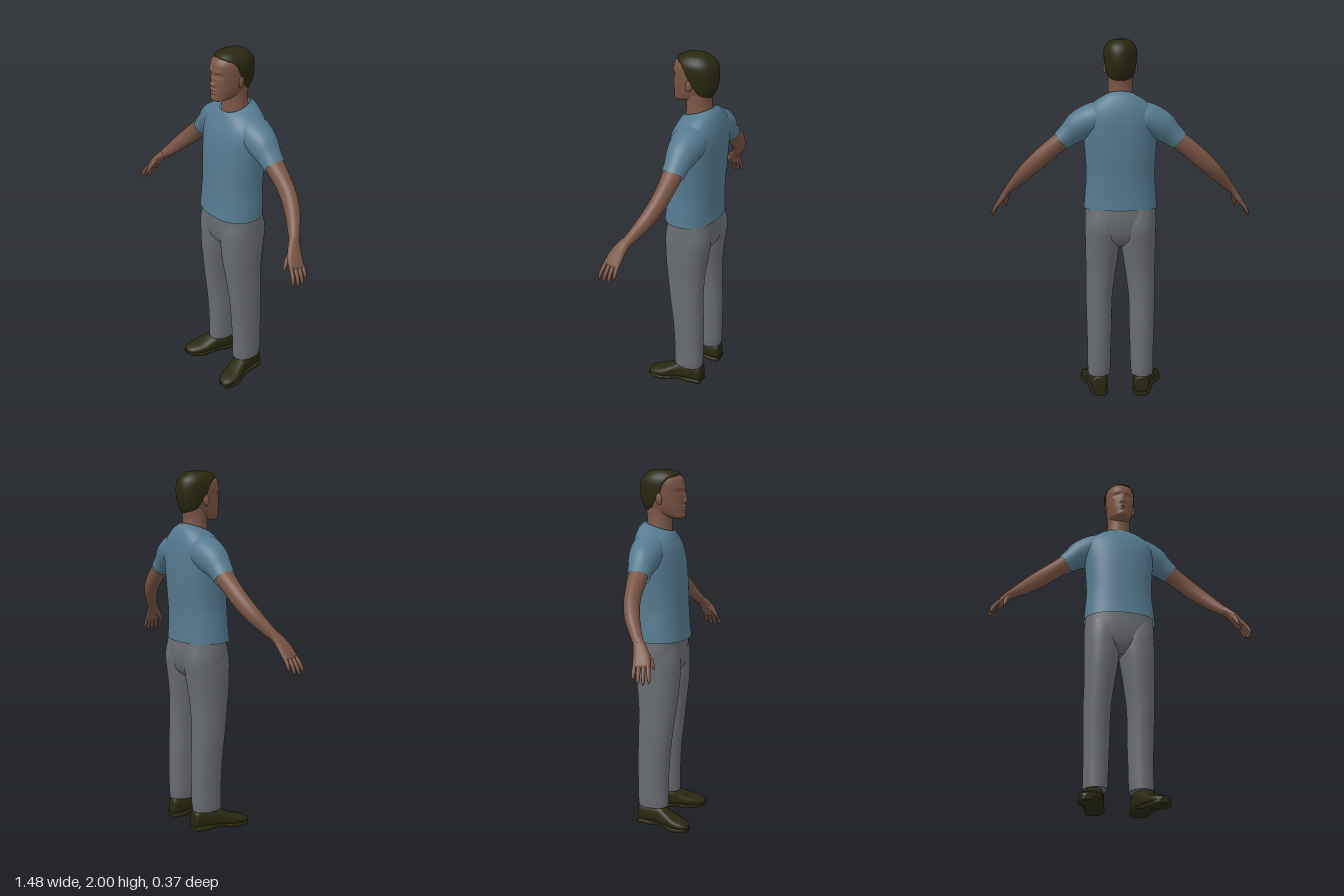
import * as THREE from 'three';

const V = (x, y, z) => new THREE.Vector3(x, y, z);
const mat = (name, color, side = THREE.FrontSide) => {
  const m = new THREE.MeshStandardMaterial({ color, side });
  m.name = name;
  return m;
};

// Horizontal ring: height, centre x, half width, front z, back z, slope along z
const ring = (y, x, hw, zf, zb, tilt = 0) => {
  const d = (zf - zb) / 2;
  return { c: V(x, y, (zf + zb) / 2), u: V(hw, 0, 0), v: V(0, tilt * d, d) };
};

// Rings square to a path of points [x, y, z, thickness, width]
const limb = (pts) => {
  const p = pts.map((q) => V(q[0], q[1], q[2]));
  return pts.map((q, i) => {
    const d = p[Math.min(i + 1, p.length - 1)].clone().sub(p[Math.max(i - 1, 0)]).normalize();
    const u = d.clone().cross(V(0, 0, 1)).normalize();
    const v = u.clone().cross(d);
    return { c: p[i], u: u.multiplyScalar(q[3]), v: v.multiplyScalar(q[4]) };
  });
};

// Smooth surface through the rings; n is the squareness of the section
function surface(rings, n = 2) {
  const [c, u, v] = ['c', 'u', 'v'].map((k) =>
    new THREE.CatmullRomCurve3(rings.map((r) => r[k]), false, 'catmullrom', 0.5));
  const round = (s) => Math.sign(s) * Math.abs(s) ** (2 / n);
  return (t, a) => c.getPoint(t)
    .addScaledVector(u.getPoint(t), round(Math.cos(a)))
    .addScaledVector(v.getPoint(t), round(Math.sin(a)));
}

// Closed-section mesh from a surface function, with optional end caps
function skinOver(fn, steps, segs, caps = true) {
  const pos = [], idx = [];
  for (let i = 0; i <= steps; i++) {
    for (let j = 0; j < segs; j++) pos.push(...fn(i / steps, (j / segs) * Math.PI * 2).toArray());
  }
  for (let i = 0; i < steps; i++) {
    for (let j = 0; j < segs; j++) {
      const k = (j + 1) % segs;
      const a = i * segs + j, b = i * segs + k;
      idx.push(a, a + segs, b, b, a + segs, b + segs);
    }
  }
  if (caps) {
    for (const row of [0, steps]) {
      const mid = V(0, 0, 0), start = pos.length / 3;
      for (let j = 0; j < segs; j++) {
        const p = V(0, 0, 0).fromArray(pos, (row * segs + j) * 3);
        mid.addScaledVector(p, 1 / segs);
        pos.push(p.x, p.y, p.z);
      }
      pos.push(mid.x, mid.y, mid.z);
      for (let j = 0; j < segs; j++) {
        const a = start + j, b = start + ((j + 1) % segs), m = start + segs;
        idx.push(...(row ? [a, m, b] : [a, b, m]));
      }
    }
  }
  const g = new THREE.BufferGeometry();
  g.setAttribute('position', new THREE.Float32BufferAttribute(pos, 3));
  g.setIndex(idx);
  g.computeVertexNormals();
  return g;
}

const loft = (rings, { n = 2, steps = 40, segs = 40, caps = true } = {}) =>
  skinOver(surface(rings, n), steps, segs, caps);

function mirrored(geo) {
  const g = geo.clone().scale(-1, 1, 1);
  const a = g.index.array;
  for (let i = 0; i < a.length; i += 3) [a[i], a[i + 1]] = [a[i + 1], a[i]];
  g.computeVertexNormals();
  return g;
}

// Raised and sunken face features: [x, y, spread x, spread y, depth], mirrored in x
const features = [
  [0, 1.858, 0.011, 0.022, 0.012], [0, 1.835, 0.014, 0.01, 0.012], [0.014, 1.83, 0.008, 0.008, 0.007],
  [0.035, 1.88, 0.018, 0.011, -0.011], [0.034, 1.878, 0.011, 0.006, 0.006], [0.03, 1.902, 0.03, 0.009, 0.004],
  [0, 1.803, 0.022, 0.006, 0.008], [0, 1.786, 0.019, 0.006, 0.008], [0, 1.756, 0.022, 0.012, 0.004],
];
function sculpt(p) {
  if (p.z < 0.02) return p;
  let dz = 0;
  for (const [x, y, sx, sy, d] of features) {
    dz += d * Math.exp(-(((Math.abs(p.x) - x) / sx) ** 2) - ((p.y - y) / sy) ** 2);
  }
  p.z += dz * Math.min(1, (p.z - 0.02) / 0.03);
  return p;
}

// Hairline position on the head surface by angle away from the face
const hairline = [[0, 0.77], [0.7, 0.74], [1.2, 0.69], [1.42, 0.6], [1.6, 0.43], [1.9, 0.33], [2.3, 0.21], [3.2, 0.17]];
function hairStart(a) {
  const f = Math.abs(Math.atan2(Math.sin(a - Math.PI / 2), Math.cos(a - Math.PI / 2)));
  const i = hairline.findIndex((h) => h[0] > f);
  const [f0, t0] = hairline[i - 1], [f1, t1] = hairline[i];
  return THREE.MathUtils.lerp(t0, t1, (f - f0) / (f1 - f0));
}

export function createModel() {
  const model = new THREE.Group();
  model.name = 'standingMan';
  const skin = mat('brown skin', 0x7a5645);
  const cloth = mat('blue cloth', 0x557a8f, THREE.DoubleSide);
  const trouser = mat('grey cloth', 0x696c71);
  const dark = mat('dark brown', 0x29280f, THREE.DoubleSide);

  const add = (name, geo, material) => {
    const m = new THREE.Mesh(geo, material);
    m.name = name;
    model.add(m);
  };
  const pair = (name, geo, material) => {
    add(name + 'Left', geo, material);
    add(name + 'Right', mirrored(geo), material);
  };

  // Head, hair, ears and neck
  const head = surface([
    ring(1.737, 0, 0.022, 0.083, 0.035), ring(1.747, 0, 0.042, 0.097, 0), ring(1.77, 0, 0.06, 0.098, -0.095),
    ring(1.80, 0, 0.071, 0.098, -0.125), ring(1.84, 0, 0.079, 0.097, -0.14), ring(1.88, 0, 0.084, 0.097, -0.145),
    ring(1.92, 0, 0.087, 0.096, -0.143), ring(1.95, 0, 0.081, 0.085, -0.132), ring(1.975, 0, 0.062, 0.058, -0.107),
    ring(1.988, 0, 0.04, 0.025, -0.08), ring(1.993, 0, 0.001, -0.024, -0.026),
  ], 2.15);
  add('head', skinOver((t, a) => sculpt(head(t, a)), 100, 128), skin);
  const crown = V(0, 1.87, -0.03);
  add('hair', skinOver((s, a) => {
    const grow = 0.995 + 0.055 * Math.min(1, s * 12);
    return head(THREE.MathUtils.lerp(hairStart(a), 1, s), a).sub(crown).multiplyScalar(grow).add(crown);
  }, 40, 96, false), dark);
  const ear = new THREE.SphereGeometry(1, 20, 14).scale(0.009, 0.032, 0.019).rotateX(-0.2).rotateY(0.3);
  pair('ear', ear.translate(0.083, 1.845, -0.025), skin);
  add('neck', loft([
    ring(1.6, 0, 0.085, 0.03, -0.12), ring(1.68, 0, 0.071, 0.026, -0.118),
    ring(1.74, 0, 0.066, 0.024, -0.112), ring(1.8, 0, 0.066, 0.03, -0.12), ring(1.84, 0, 0.06, 0.03, -0.12),
  ]), skin);

  // Shirt body and sleeves
  add('shirt', loft([
    ring(1.08, 0, 0.204, 0.125, -0.168), ring(1.16, 0, 0.198, 0.117, -0.166), ring(1.26, 0, 0.19, 0.112, -0.17),
    ring(1.38, 0, 0.195, 0.107, -0.178), ring(1.49, 0, 0.204, 0.097, -0.182), ring(1.57, 0, 0.207, 0.08, -0.181),
    ring(1.625, 0, 0.185, 0.062, -0.172, -0.08), ring(1.672, 0, 0.13, 0.044, -0.152, -0.2),
    ring(1.697, 0, 0.078, 0.032, -0.124, -0.33),
  ], { n: 2.25, steps: 64, segs: 64, caps: false }), cloth);
  pair('sleeve', loft(limb([
    [0.05, 1.59, -0.065, 0.08, 0.08], [0.14, 1.572, -0.065, 0.09, 0.095], [0.225, 1.532, -0.065, 0.083, 0.082],
    [0.28, 1.488, -0.064, 0.064, 0.066], [0.323, 1.452, -0.064, 0.055, 0.06],
  ]), { steps: 32, caps: false }), cloth);

  // Arms and hands
  pair('arm', loft(limb([
    [0.25, 1.52, -0.065, 0.05, 0.052], [0.325, 1.452, -0.064, 0.05, 0.052], [0.395, 1.395, -0.061, 0.049, 0.045],
    [0.455, 1.343, -0.052, 0.048, 0.042], [0.52, 1.283, -0.028, 0.042, 0.039], [0.58, 1.22, 0.01, 0.033, 0.031],
    [0.625, 1.175, 0.042, 0.022, 0.026],
  ])), skin);
  pair('palm', loft(limb([
    [0.61, 1.192, 0.032, 0.024, 0.027], [0.637, 1.16, 0.052, 0.02, 0.034], [0.665, 1.12, 0.068, 0.018, 0.043],
    [0.69, 1.085, 0.076, 0.014, 0.044], [0.698, 1.074, 0.078, 0.007, 0.038],
  ]), { n: 2.3, steps: 24, segs: 28 }), skin);
  [0.78, 0.97, 1, 0.9].forEach((len, i) => {
    const s = (i - 1.5) * 0.022;
    pair('finger' + (i + 1), loft(limb([
      [0.682, 1.098, 0.075 + s, 0.01, 0.01],
      [0.682 + 0.036 * len, 1.098 - 0.048 * len, 0.081 + s * 1.15, 0.01, 0.01],
      [0.682 + 0.051 * len, 1.098 - 0.08 * len, 0.085 + s * 1.25, 0.008, 0.008],
      [0.682 + 0.056 * len, 1.098 - 0.096 * len, 0.086 + s * 1.25, 0.003, 0.003],
    ]), { steps: 14, segs: 14 }), skin);
  });
  pair('thumb', loft(limb([
    [0.64, 1.15, 0.07, 0.014, 0.016], [0.65, 1.115, 0.103, 0.013, 0.014],
    [0.656, 1.085, 0.122, 0.01, 0.01], [0.66, 1.06, 0.132, 0.004, 0.004],
  ]), { steps: 14, segs: 14 }), skin);

  // Trousers: hips and legs
  add('trouserHips', loft([
    ring(0.865, 0, 0.12, 0.04, -0.09), ring(0.9, 0, 0.165, 0.08, -0.135), ring(0.95, 0, 0.195, 0.098, -0.155),
    ring(1.02, 0, 0.199, 0.106, -0.163), ring(1.1, 0, 0.193, 0.105, -0.158),
  ], { n: 2.3, segs: 56 }), trouser);
  pair('trouserLeg', loft([
    ring(0.113, 0.124, 0.063, 0.04, -0.131), ring(0.16, 0.123, 0.066, 0.04, -0.135), ring(0.25, 0.122, 0.067, 0.041, -0.136),
    ring(0.4, 0.121, 0.071, 0.049, -0.136), ring(0.56, 0.121, 0.075, 0.066, -0.131), ring(0.7, 0.112, 0.083, 0.083, -0.132),
    ring(0.8, 0.105, 0.092, 0.095, -0.141), ring(0.88, 0.1, 0.098, 0.1, -0.152), ring(0.98, 0.098, 0.1, 0.1, -0.163),
    ring(1.08, 0.1, 0.085, 0.08, -0.145),
  ], { n: 2.2, steps: 60 }), trouser);

  // Shoes: [z, centre x, half width, height]
  const last = [
    [-0.134, 0.12, 0.022, 0.085], [-0.125, 0.12, 0.04, 0.115], [-0.06, 0.124, 0.05, 0.125], [0.0, 0.138, 0.053, 0.122],
    [0.04, 0.152, 0.057, 0.1], [0.09, 0.168, 0.062, 0.075], [0.14, 0.181, 0.053, 0.06], [0.17, 0.187, 0.036, 0.048],
    [0.182, 0.189, 0.016, 0.036],
  ];
  const across = (x, z, hw, y0, y1) => ({ c: V(x, (y0 + y1) / 2, z), u: V(0, (y1 - y0) / 2, 0), v: V(hw, 0, 0) });
  pair('shoe', loft(last.map(([z, x, hw, h]) => across(x, z, hw, 0.01, h)), { n: 2.4 }), dark);
  const lift = [0, 0, 0, 0.011, 0.006, 0, 0.002, 0.006, 0.01];
  pair('shoeSole', loft(last.map(([z, x, hw], i) => across(x, z * 1.015, hw + 0.003, lift[i], 0.026)), { n: 5 }), dark);

  return model;
}
